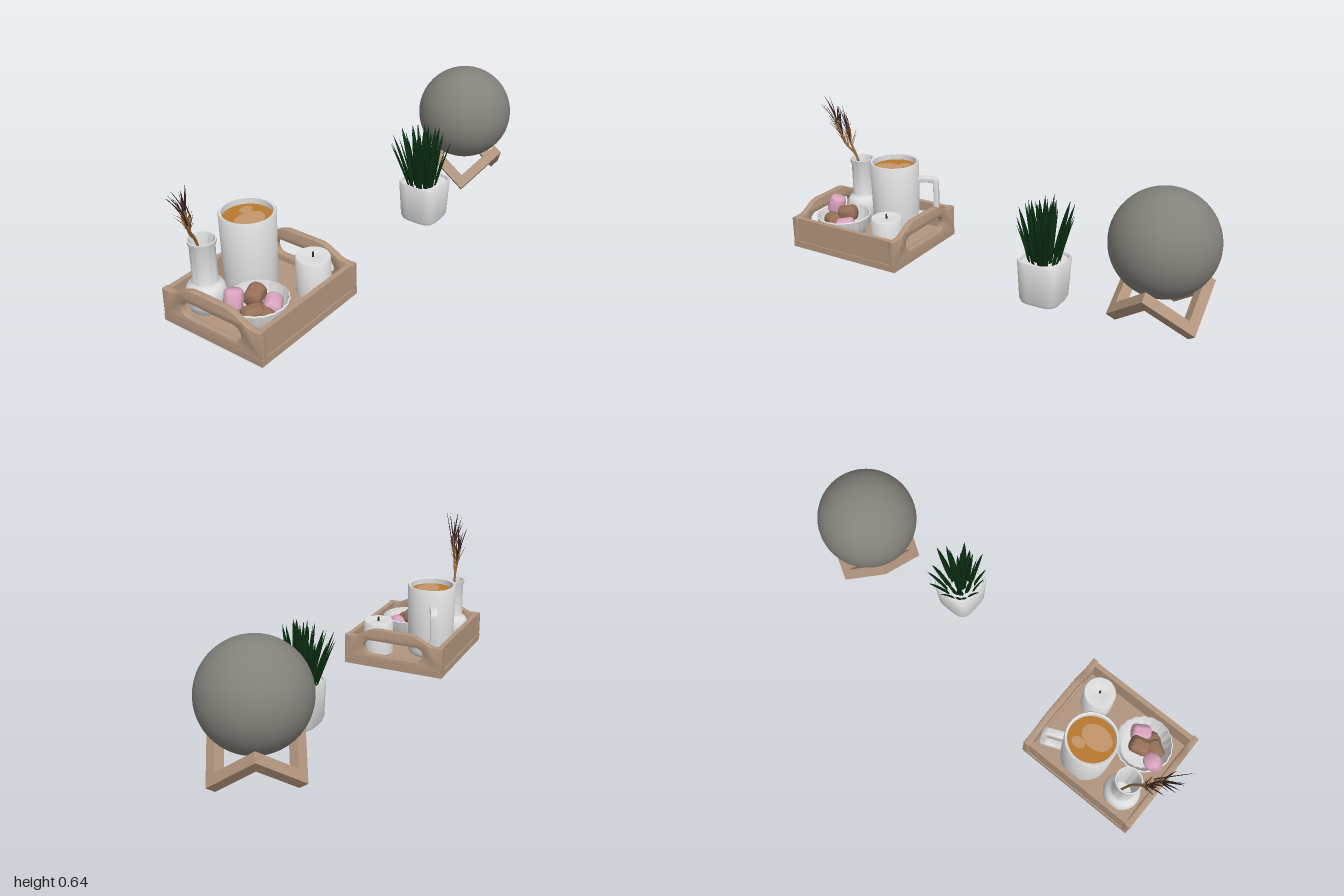
import * as THREE from 'three';
import { mergeGeometries, toCreasedNormals } from 'three/addons/utils/BufferGeometryUtils.js';

const mat = (name, color, side = THREE.FrontSide) => {
  const m = new THREE.MeshStandardMaterial({ color, side });
  m.name = name;
  return m;
};
const V = (x, y, z) => new THREE.Vector3(x, y, z);

export function createModel() {
  const wood = mat('wood', 0xb2957e);
  const white = mat('white ceramic', 0xdedede);
  const grey = mat('stone grey', 0x83817a);
  const coffeeMat = mat('coffee', 0xb87a30);
  const foamMat = mat('foam', 0xc4966c);
  const pink = mat('pink sweet', 0xdaa4be);
  const brown = mat('brown sweet', 0x967058);
  const green = mat('leaf green', 0x0a2e12, THREE.DoubleSide);
  const dark = mat('dark straw', 0x3a2624, THREE.DoubleSide);
  const gold = mat('golden straw', 0x94683c, THREE.DoubleSide);

  const root = new THREE.Group();
  root.name = 'decorSet';
  let seed = 7;
  const rnd = (a, b) => {
    seed = (seed * 16807) % 2147483647;
    return a + (b - a) * (seed / 2147483647);
  };
  const group = (name, x, y, z) => {
    const g = new THREE.Group();
    g.name = name;
    g.position.set(x, y, z);
    root.add(g);
    return g;
  };
  const add = (parent, name, geo, material, x = 0, y = 0, z = 0) => {
    const m = new THREE.Mesh(geo, material);
    m.name = name;
    m.position.set(x, y, z);
    parent.add(m);
    return m;
  };
  // Lathe whose radius may vary with the angle
  const lathe = (pts, seg = 40, crease = 0.7, scaleAt = null) => {
    const geo = new THREE.LatheGeometry(pts.map(p => new THREE.Vector2(...p)), seg);
    const p = geo.attributes.position;
    if (scaleAt) for (let i = 0; i < p.count; i++) {
      const k = scaleAt(Math.atan2(p.getZ(i), p.getX(i)));
      p.setXYZ(i, p.getX(i) * k, p.getY(i), p.getZ(i) * k);
    }
    return toCreasedNormals(geo, crease);
  };
  const roundRect = (Type, x0, y0, x1, y1, r) => {
    const s = new Type();
    s.absarc(x1 - r, y0 + r, r, -Math.PI / 2, 0);
    s.absarc(x1 - r, y1 - r, r, 0, Math.PI / 2);
    s.absarc(x0 + r, y1 - r, r, Math.PI / 2, Math.PI);
    s.absarc(x0 + r, y0 + r, r, Math.PI, Math.PI * 1.5);
    s.closePath();
    return s;
  };

  // Tapered, slightly bowed blade with a diamond section
  const blade = (base, tip, width, bow, thick, n = 6) => {
    const ctrl = base.clone().lerp(tip, 0.5).add(bow);
    const curve = new THREE.QuadraticBezierCurve3(base, ctrl, tip);
    const dir = tip.clone().sub(base).normalize();
    const out = V(tip.x - base.x, 0, tip.z - base.z).normalize();
    const side = V(-out.z, 0, out.x);
    const face = dir.clone().cross(side).normalize();
    const pos = [], idx = [];
    for (let i = 0; i <= n; i++) {
      const t = i / n, p = curve.getPoint(t);
      const w = width * (0.8 + 0.9 * t) * (1 - t) ** 0.8 * 0.5;
      for (const [v, k] of [[side, w], [face, w * thick], [side, -w], [face, -w * thick]])
        pos.push(...p.clone().addScaledVector(v, k).toArray());
      if (i < n) for (let k = 0; k < 4; k++) {
        const a = i * 4 + k, b = i * 4 + (k + 1) % 4;
        idx.push(a, b, a + 4, b, b + 4, a + 4);
      }
    }
    const g = new THREE.BufferGeometry();
    g.setAttribute('position', new THREE.Float32BufferAttribute(pos, 3));
    g.setIndex(idx);
    g.computeVertexNormals();
    return g;
  };

  // Serving tray
  const tray = group('tray', -0.637, 0, -0.013);
  add(tray, 'trayBase', new THREE.BoxGeometry(0.565, 0.03, 0.488), wood, 0, 0.015, 0);
  for (const s of [-1, 1])
    add(tray, 'trayLongWall', new THREE.BoxGeometry(0.516, 0.112, 0.022), wood, 0, 0.086, s * 0.228);
  const end = new THREE.Shape();
  end.moveTo(-0.244, 0.03);
  end.lineTo(0.244, 0.03);
  end.lineTo(0.244, 0.143);
  end.lineTo(0.2, 0.143);
  end.bezierCurveTo(0.16, 0.145, 0.13, 0.185, 0.08, 0.188);
  end.lineTo(-0.08, 0.188);
  end.bezierCurveTo(-0.13, 0.185, -0.16, 0.145, -0.2, 0.143);
  end.lineTo(-0.244, 0.143);
  end.holes.push(roundRect(THREE.Path, -0.148, 0.06, 0.148, 0.13, 0.034));
  const endGeo = toCreasedNormals(new THREE.ExtrudeGeometry(end,
    { depth: 0.02, bevelEnabled: true, bevelSize: 0.004, bevelThickness: 0.004, bevelOffset: -0.004, bevelSegments: 2 }), 0.6);
  endGeo.translate(0, 0, -0.01).rotateY(Math.PI / 2);
  for (const s of [-1, 1]) add(tray, 'trayHandleEnd', endGeo, wood, s * 0.2685, 0, 0);

  // Mug with coffee and a film of foam
  const mug = group('mug', -0.585, 0.03, -0.115);
  add(mug, 'mugBody', lathe([[0, 0], [0.095, 0], [0.104, 0.008], [0.107, 0.025], [0.112, 0.335], [0.109, 0.34],
    [0.1, 0.337], [0.096, 0.03], [0, 0.02]], 48), white);
  add(mug, 'coffee', new THREE.CircleGeometry(0.1, 40).rotateX(-Math.PI / 2), coffeeMat, 0, 0.312, 0);
  for (const [x, z, rx, rz] of [[-0.012, 0.022, 0.068, 0.05], [0.035, -0.04, 0.03, 0.022]])
    add(mug, 'foam', new THREE.CylinderGeometry(1, 1, 0.002, 28).scale(rx, 1, rz), foamMat, x, 0.3125, z);
  const loop = roundRect(THREE.Shape, 0.09, 0.07, 0.2, 0.265, 0.03);
  loop.holes.push(roundRect(THREE.Path, 0.1, 0.09, 0.182, 0.246, 0.016));
  const handleGeo = new THREE.ExtrudeGeometry(loop,
    { depth: 0.026, bevelEnabled: true, bevelSize: 0.003, bevelThickness: 0.003, bevelSegments: 2 }).translate(0, 0, -0.013);
  add(mug, 'mugHandle', toCreasedNormals(handleGeo, 0.7), white).rotation.y = 0.42;

  // Vase with a round belly and straight neck
  const vase = group('vase', -0.8, 0.03, -0.147);
  add(vase, 'vaseBody', lathe([[0, 0], [0.05, 0], [0.064, 0.012], [0.076, 0.045], [0.079, 0.078], [0.075, 0.1],
    [0.066, 0.116], [0.053, 0.125], [0.049, 0.135], [0.049, 0.28], [0.055, 0.298], [0.056, 0.308],
    [0.05, 0.308], [0.043, 0.28], [0.043, 0.05], [0, 0.04]], 36, 1), white);

  // Dried grass: golden stems with golden and dark strands
  const grass = { dark: [], gold: [] };
  for (const [tx, ty, tz, count] of [[-0.905, 0.52, -0.105, 28], [-0.88, 0.47, -0.148, 20]]) {
    const stem = new THREE.CatmullRomCurve3([V(-0.79, 0.08, -0.147), V(-0.828, 0.34, -0.145),
      V(tx * 0.6 - 0.335, 0.41, tz * 0.5 - 0.07), V(tx, ty, tz)]);
    const tube = new THREE.TubeGeometry(stem, 16, 0.005, 6);
    tube.deleteAttribute('uv');
    grass.gold.push(tube);
    for (let i = 0; i < count; i++) {
      const golden = i % 5 < 2;
      const p = stem.getPoint(golden ? rnd(0.55, 0.9) : rnd(0.6, 1));
      const len = golden ? rnd(0.05, 0.09) : rnd(0.08, 0.16);
      const tip = p.clone().add(V(-len * 0.33 + rnd(-0.028, 0.045), len * 0.85, rnd(-0.03, 0.035)));
      tip.x = Math.max(tip.x, -0.99);
      tip.y = Math.min(tip.y, 0.645);
      grass[golden ? 'gold' : 'dark'].push(blade(p, tip, rnd(0.005, 0.009), V(0.005, 0.008, 0), 0.5, 4));
    }
  }
  grass.dark.push(blade(V(-0.87, 0.47, -0.115), V(-0.975, 0.635, -0.04), 0.005, V(0, 0.01, 0), 0.5));
  add(root, 'darkGrass', mergeGeometries(grass.dark), dark);
  add(root, 'goldenGrass', mergeGeometries(grass.gold), gold);

  // Candle
  const candle = group('candle', -0.475, 0.03, 0.11);
  add(candle, 'candleBody', lathe([[0, 0], [0.064, 0], [0.07, 0.006], [0.07, 0.157], [0.066, 0.163],
    [0.02, 0.163], [0.008, 0.158], [0, 0.158]], 36), white);
  add(candle, 'wick', new THREE.CylinderGeometry(0.004, 0.004, 0.022, 8), dark, 0, 0.168, 0);

  // Ribbed bowl
  const bowl = group('bowl', -0.752, 0.03, 0.067);
  add(bowl, 'bowlBody', lathe([[0, 0], [0.07, 0], [0.092, 0.015], [0.112, 0.06], [0.122, 0.105], [0.117, 0.108],
    [0.105, 0.062], [0.086, 0.025], [0, 0.014]], 96, 0.6, a => 1 + 0.015 * Math.cos(20 * a)), white);

  // Marshmallows: position, tilt, turn
  const sweetGeo = lathe([[0, -0.04], [0.026, -0.04], [0.034, -0.034], [0.037, -0.025], [0.037, 0.025], [0.034, 0.034],
    [0.026, 0.04], [0, 0.04]], 24, 1);
  for (const [m, x, y, z, tilt, turn] of [
    [pink, -0.828, 0.155, 0.022, 0.35, 0.5], [pink, -0.712, 0.1, 0.108, 1.45, 0.6],
    [brown, -0.742, 0.137, 0.048, 1.35, 0.3], [brown, -0.8, 0.1, 0.085, 1.5, -0.5],
    [brown, -0.765, 0.085, 0.105, 1.57, 1.2]]) {
    const s = add(root, 'marshmallow', sweetGeo, m, x, y, z);
    s.rotation.set(0, turn, -tilt);
  }

  // Potted plant: round profile pushed out to a rounded square
  const plant = group('plant', 0.315, 0, 0.117);
  const squircle = a => (Math.abs(Math.cos(a)) ** 3.8 + Math.abs(Math.sin(a)) ** 3.8) ** (-1 / 3.8);
  add(plant, 'pot', lathe([[0, 0], [0.068, 0], [0.081, 0.005], [0.088, 0.02], [0.097, 0.183], [0.094, 0.19],
    [0.088, 0.188], [0.085, 0.175], [0, 0.175]], 64, 0.7, squircle), white);
  const leaves = [];
  for (const [count, r0, r1, h] of [[14, 0.062, 0.13, 0.385], [11, 0.042, 0.09, 0.42], [7, 0.018, 0.04, 0.44]])
    for (let i = 0; i < count; i++) {
      const a = (i + rnd(-0.3, 0.3)) / count * Math.PI * 2 + h * 20;
      const c = Math.cos(a), s = Math.sin(a), r = r1 * rnd(0.88, 1.08);
      leaves.push(blade(V(r0 * c - 0.008, 0.17, r0 * s - 0.01), V(r * c - 0.012, h + rnd(-0.045, 0.015), r * s - 0.022),
        rnd(0.029, 0.037), V(-0.006 * c, 0, -0.006 * s), 0.3));
    }
  add(plant, 'leaves', mergeGeometries(leaves), green);

  // Ball on a zigzag stand
  const lamp = group('ballOnStand', 0.783, 0, 0.041);
  add(lamp, 'ball', new THREE.SphereGeometry(0.216, 64, 40), grey, 0, 0.334, 0);

  // Six bars follow the zigzag edges of a cube standing on its corner
  const s = 0.211, t = 0.045;
  const axes = [-90, 30, 150].map(d => d * Math.PI / 180).map(a =>
    V(Math.cos(a) * Math.sqrt(2 / 3), Math.sqrt(1 / 3), Math.sin(a) * Math.sqrt(2 / 3)));
  const drop = t * Math.sqrt(3) / 2 - s / Math.sqrt(3);
  for (let i = 0; i < 3; i++) for (let j = 0; j < 3; j++) {
    if (i === j) continue;
    const bar = add(lamp, 'standBar', new THREE.BoxGeometry(s + t, t, t), wood);
    const third = axes[j].clone().cross(axes[i]);
    bar.quaternion.setFromRotationMatrix(new THREE.Matrix4().makeBasis(axes[j], axes[i], third));
    bar.position.copy(axes[i]).multiplyScalar(s).addScaledVector(axes[j], s / 2);
    bar.position.y += drop;
  }
  return root;
}
